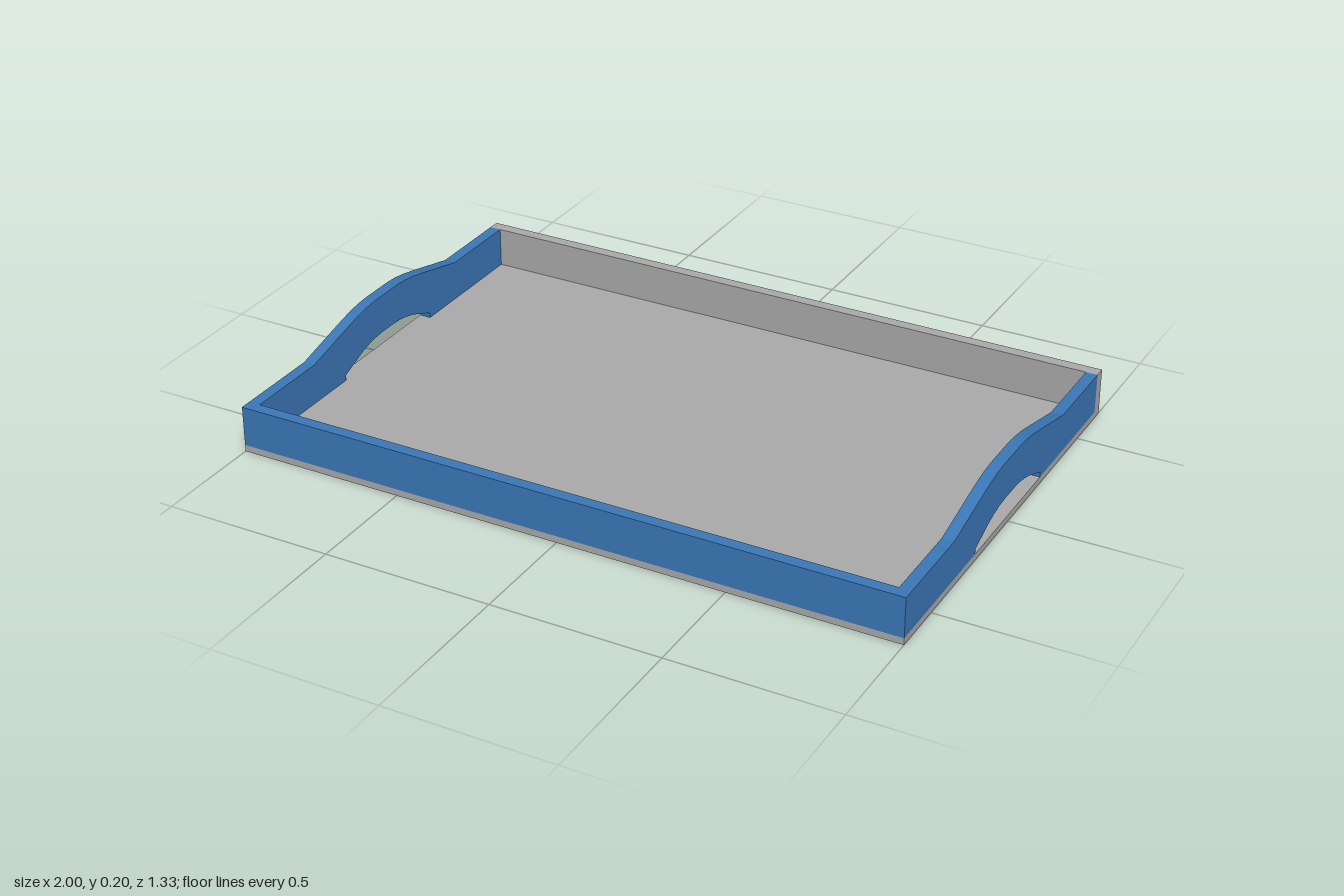
import * as THREE from 'three';

const W = 1, D = 0.665, T = 0.035, FLOOR = 0.02, RIM = 0.14;

export function createModel() {
  const tray = new THREE.Group();
  tray.name = 'tray';
  const blue = new THREE.MeshStandardMaterial({ color: 0x3b78b8 });
  blue.name = 'blue';
  const grey = new THREE.MeshStandardMaterial({ color: 0xaaaaaa });
  grey.name = 'grey';

  const add = (name, geometry, material, x, y, z) => {
    const mesh = new THREE.Mesh(geometry, material);
    mesh.name = name;
    mesh.position.set(x, y, z);
    tray.add(mesh);
  };

  // Floor panel and long walls
  const h = RIM - FLOOR, midY = (RIM + FLOOR) / 2, wallZ = D - T / 2;
  add('floor', new THREE.BoxGeometry(2 * W, FLOOR, 2 * D), grey, 0, FLOOR / 2, 0);
  add('frontWall', new THREE.BoxGeometry(2 * W, h, T), blue, 0, midY, wallZ);
  add('backWall', new THREE.BoxGeometry(2 * (W - T), h, T), grey, 0, midY, -wallZ);

  // Side wall profile in (z, y): raised handle above an arched hand opening
  const mirror = (pts) => [...pts, ...pts.map(([z, y]) => [-z, y]).reverse()]
    .map(([z, y]) => new THREE.Vector2(z, y));
  const opening = mirror([[-0.222, FLOOR], [-0.222, 0.036], [-0.175, 0.054], [-0.135, 0.07],
    [-0.1, 0.079], [-0.066, 0.085], [-0.03, 0.087]]);
  const crest = mirror([[D - T, FLOOR], [D - T, RIM], [0.37, RIM], [0.195, 0.182],
    [0.145, 0.193], [0.1, 0.2], [0.06, 0.203]]);
  const profile = new THREE.Shape([...crest, ...opening]);
  const sideGeometry = new THREE.ExtrudeGeometry(profile, { depth: T, bevelEnabled: false });
  sideGeometry.translate(0, 0, -T / 2).rotateY(-Math.PI / 2);

  // Handled sides, and back corners whose rear faces show the side wall ends
  const cornerGeometry = new THREE.BoxGeometry(T, h, T);
  for (const [side, s] of [['left', 1], ['right', -1]]) {
    const x = s * (W - T / 2);
    add(side + 'HandleWall', sideGeometry, blue, x, 0, 0);
    add(side + 'BackCorner', cornerGeometry, [grey, grey, grey, grey, grey, blue], x, midY, -wallZ);
  }
  return tray;
}
